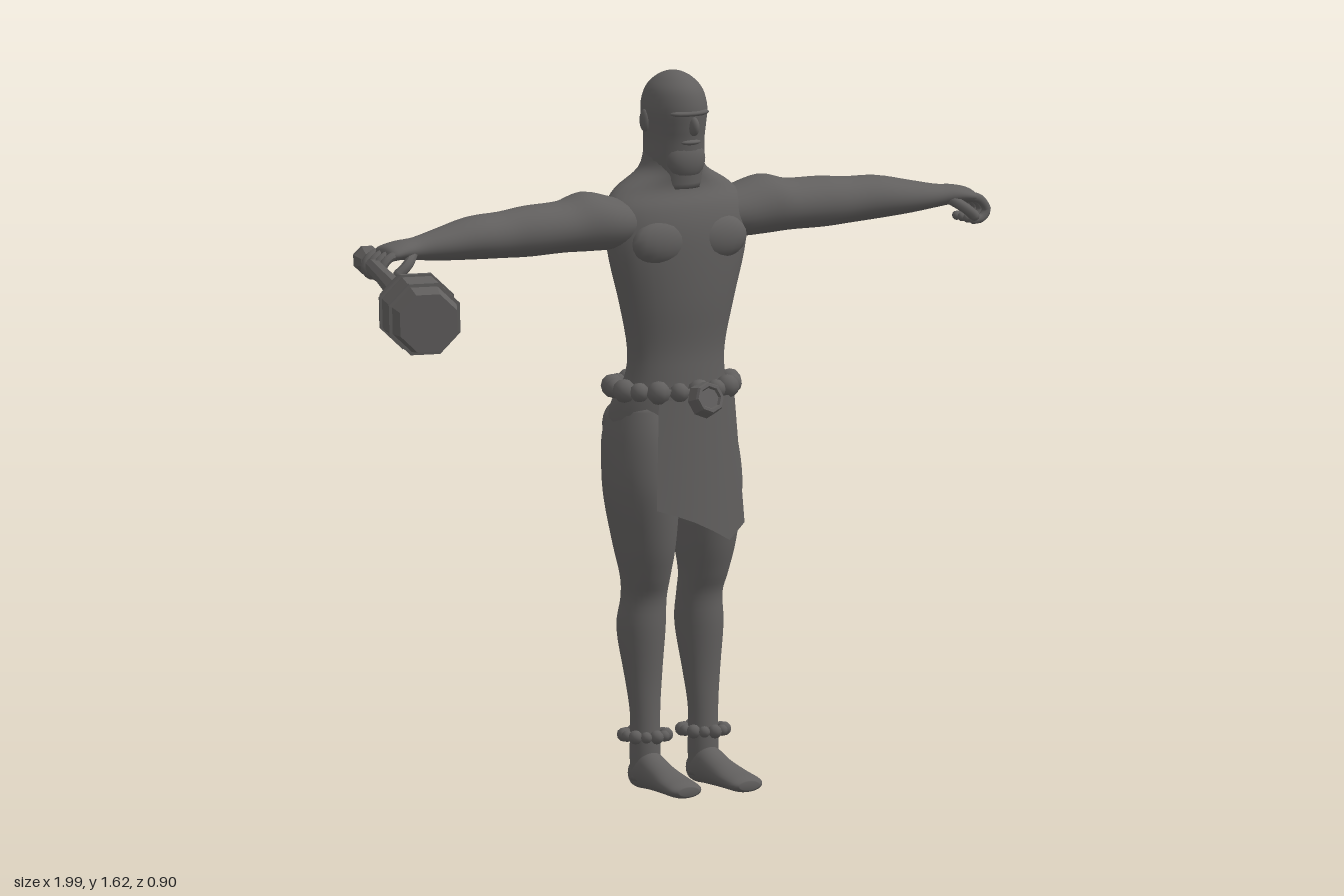
import * as THREE from 'three';

const stone = new THREE.MeshStandardMaterial({ color: 0x615f5e });
stone.name = 'dark grey';
const clubGrey = stone.clone();
clubGrey.name = 'dark grey faceted';
clubGrey.flatShading = true;
const clothGrey = stone.clone();
clothGrey.name = 'dark grey cloth';
clothGrey.side = THREE.DoubleSide;

// Smooth value between cross-sections
const spline = (a, b, c, d, t) =>
  b + 0.5 * t * (c - a + t * (2 * a - 5 * b + 4 * c - d + t * (3 * (b - c) + d - a)));

// Skin over elliptical sections [t, centreA, centreB, radiusA, radiusB] along one axis
function loft(axis, sections, sides = 28, steps = 4) {
  const rings = [];
  const n = sections.length;
  for (let i = 0; i < n - 1; i++) {
    const s = [-1, 0, 1, 2].map(k => sections[Math.min(n - 1, Math.max(0, i + k))]);
    for (let k = 0; k < steps; k++)
      rings.push(s[1].map((_, q) => spline(s[0][q], s[1][q], s[2][q], s[3][q], k / steps)));
  }
  rings.push(sections[n - 1]);
  const pos = [], idx = [];
  const put = (t, a, b) => pos.push(...(axis === 'y' ? [a, t, b] : axis === 'x' ? [t, a, b] : [a, b, t]));
  const face = (a, b, c) => idx.push(...(axis === 'y' ? [a, c, b] : [a, b, c]));
  for (const [t, a, b, ra, rb] of rings)
    for (let j = 0; j < sides; j++) {
      const w = (j / sides) * Math.PI * 2;
      put(t, a + ra * Math.cos(w), b + rb * Math.sin(w));
    }
  const last = (rings.length - 1) * sides;
  const c0 = rings.length * sides;
  for (const r of [rings[0], rings[rings.length - 1]]) put(r[0], r[1], r[2]);
  for (let j = 0; j < sides; j++) {
    const k = (j + 1) % sides;
    for (let i = 0; i < last; i += sides) {
      face(i + j, i + k, i + sides + j);
      face(i + k, i + sides + k, i + sides + j);
    }
    face(c0, k, j);
    face(c0 + 1, last + j, last + k);
  }
  const g = new THREE.BufferGeometry();
  g.setAttribute('position', new THREE.Float32BufferAttribute(pos, 3));
  g.setIndex(idx);
  g.computeVertexNormals();
  return g;
}

function ball(x, y, z, rx, ry, rz, w = 16, h = 12) {
  return new THREE.SphereGeometry(1, w, h).scale(rx, ry, rz).translate(x, y, z);
}

function mirror(geo) {
  const g = geo.clone().scale(-1, 1, 1);
  const a = g.index.array;
  for (let i = 0; i < a.length; i += 3) [a[i], a[i + 1]] = [a[i + 1], a[i]];
  g.computeVertexNormals();
  return g;
}

function add(group, name, geo, mat = stone) {
  const m = new THREE.Mesh(geo, mat);
  m.name = name;
  group.add(m);
  return m;
}

function pair(group, name, geo, mat = stone) {
  add(group, 'left' + name, geo, mat);
  add(group, 'right' + name, mirror(geo), mat);
}

// Hanging cloth with an uneven hem
function cloth(hem, x0, x1, top, zAt) {
  const g = new THREE.PlaneGeometry(1, 1, (hem.length - 1) * 2, 6);
  const p = g.attributes.position;
  for (let i = 0; i < p.count; i++) {
    const u = p.getX(i) + 0.5, v = 0.5 - p.getY(i);
    const f = u * (hem.length - 1), k = Math.min(hem.length - 2, Math.floor(f));
    const low = hem[k] + (hem[k + 1] - hem[k]) * (f - k);
    const spread = 0.86 + 0.14 * v;
    p.setXYZ(i, (x0 + (x1 - x0) * u) * spread, top + (low - top) * v, zAt(2 * u - 1, v));
  }
  g.computeVertexNormals();
  return g;
}

// Beads strung around an ellipse
function beadRing(group, name, count, cx, y, cz, rx, rz, size) {
  const ring = new THREE.Group();
  ring.name = name;
  for (let i = 0; i < count; i++) {
    const a = (i / count) * Math.PI * 2;
    const r = size * (i % 2 ? 0.82 : 1);
    add(ring, 'bead', ball(cx + rx * Math.sin(a), y, cz + rz * Math.cos(a), r, r, r, 8, 6));
  }
  const cord = new THREE.TorusGeometry(1, 0.06, 6, 32).rotateX(Math.PI / 2).scale(rx, rx, rz).translate(cx, y, cz);
  add(ring, 'cord', cord);
  group.add(ring);
}

export function createModel() {
  const model = new THREE.Group();
  model.name = 'clubBearer';
  const body = new THREE.Group();
  body.name = 'body';
  body.position.x = 0.186;
  model.add(body);

  // Torso, neck and head
  add(body, 'torso', loft('y', [
    [0.74, 0, -0.33, 0.06, 0.06], [0.79, 0, -0.335, 0.135, 0.095], [0.86, 0, -0.335, 0.145, 0.098],
    [0.93, 0, -0.312, 0.126, 0.073], [1.0, 0, -0.305, 0.124, 0.066], [1.1, 0, -0.302, 0.145, 0.076],
    [1.2, 0, -0.302, 0.172, 0.082], [1.27, 0, -0.306, 0.182, 0.084], [1.32, 0, -0.315, 0.178, 0.08],
    [1.36, 0, -0.325, 0.145, 0.068], [1.4, 0, -0.322, 0.08, 0.068], [1.44, 0, -0.318, 0.064, 0.07]]));
  add(body, 'head', loft('y', [
    [1.36, 0, -0.318, 0.062, 0.07], [1.42, 0, -0.315, 0.066, 0.073], [1.47, 0, -0.314, 0.065, 0.077],
    [1.5, 0, -0.313, 0.067, 0.081], [1.54, 0, -0.314, 0.07, 0.086], [1.58, 0, -0.314, 0.06, 0.075],
    [1.605, 0, -0.314, 0.039, 0.049], [1.617, 0, -0.314, 0.018, 0.023], [1.62, 0, -0.314, 0.002, 0.002]]));
  add(body, 'brow', ball(0, 1.532, -0.25, 0.05, 0.01, 0.026));
  add(body, 'nose', ball(0, 1.503, -0.232, 0.011, 0.022, 0.018));
  add(body, 'mouth', ball(0, 1.466, -0.246, 0.026, 0.007, 0.016));
  add(body, 'beard', ball(0, 1.425, -0.268, 0.05, 0.05, 0.032));
  pair(body, 'Ear', ball(0.068, 1.51, -0.328, 0.01, 0.026, 0.016));
  pair(body, 'Chest', ball(0.075, 1.245, -0.25, 0.075, 0.052, 0.034));
  pair(body, 'ShoulderBlade', ball(0.09, 1.27, -0.36, 0.065, 0.075, 0.034));
  pair(body, 'Buttock', ball(0.068, 0.82, -0.375, 0.072, 0.062, 0.07));

  // Arms
  pair(body, 'Arm', loft('x', [
    [0.08, 1.285, -0.315, 0.04, 0.05], [0.16, 1.288, -0.318, 0.058, 0.068], [0.235, 1.297, -0.318, 0.067, 0.071],
    [0.3, 1.291, -0.315, 0.058, 0.066], [0.39, 1.289, -0.314, 0.057, 0.064], [0.46, 1.287, -0.313, 0.052, 0.058],
    [0.54, 1.287, -0.312, 0.048, 0.06], [0.62, 1.281, -0.309, 0.037, 0.047], [0.69, 1.277, -0.306, 0.026, 0.034],
    [0.735, 1.277, -0.306, 0.021, 0.043], [0.77, 1.272, -0.306, 0.017, 0.045], [0.78, 1.27, -0.306, 0.006, 0.03]]));
  for (let i = 0; i < 4; i++) {
    const z = -0.341 + i * 0.023;
    const finger = new THREE.CatmullRomCurve3([[0.75, 1.275], [0.785, 1.265], [0.803, 1.24], [0.79, 1.222], [0.768, 1.22]]
      .map(([x, y]) => new THREE.Vector3(x, y, z)));
    pair(body, 'Finger', new THREE.TubeGeometry(finger, 12, 0.0105, 8));
    pair(body, 'Fingertip', ball(0.768, 1.22, z, 0.0105, 0.0105, 0.0105, 8, 6));
  }
  const thumb = new THREE.CatmullRomCurve3([[0.71, 1.272, -0.285], [0.74, 1.25, -0.262], [0.765, 1.23, -0.262]]
    .map(p => new THREE.Vector3(...p)));
  pair(body, 'Thumb', new THREE.TubeGeometry(thumb, 8, 0.012, 8));
  pair(body, 'ThumbTip', ball(0.765, 1.23, -0.262, 0.012, 0.012, 0.012, 8, 6));

  // Legs and feet
  pair(body, 'Leg', loft('y', [
    [0.02, 0.077, -0.313, 0.033, 0.03], [0.08, 0.077, -0.313, 0.035, 0.034], [0.17, 0.077, -0.313, 0.035, 0.031],
    [0.25, 0.077, -0.32, 0.043, 0.038], [0.36, 0.077, -0.33, 0.055, 0.056], [0.43, 0.074, -0.324, 0.052, 0.052],
    [0.48, 0.077, -0.313, 0.055, 0.06], [0.55, 0.08, -0.312, 0.066, 0.08], [0.65, 0.083, -0.318, 0.078, 0.098],
    [0.72, 0.083, -0.324, 0.08, 0.102], [0.8, 0.078, -0.335, 0.076, 0.1], [0.87, 0.075, -0.335, 0.06, 0.075]]));
  pair(body, 'Foot', loft('z', [
    [-0.35, 0.077, 0.033, 0.012, 0.014], [-0.338, 0.077, 0.035, 0.03, 0.034], [-0.29, 0.077, 0.044, 0.036, 0.043],
    [-0.24, 0.078, 0.034, 0.037, 0.033], [-0.18, 0.08, 0.024, 0.043, 0.023], [-0.14, 0.081, 0.019, 0.042, 0.018],
    [-0.125, 0.08, 0.017, 0.026, 0.01]]));
  beadRing(body, 'leftAnklet', 12, 0.077, 0.122, -0.313, 0.047, 0.049, 0.016);
  beadRing(body, 'rightAnklet', 12, -0.077, 0.122, -0.313, 0.047, 0.049, 0.016);

  // Belt, buckle and loincloth
  beadRing(body, 'belt', 18, 0, 0.907, -0.32, 0.142, 0.112, 0.027);
  const tilt = Math.PI / 2 - 0.3;
  add(body, 'buckle', new THREE.CylinderGeometry(0.036, 0.042, 0.026, 8).rotateX(tilt).translate(0, 0.893, -0.178), clubGrey);
  add(body, 'buckleRim', new THREE.TorusGeometry(0.03, 0.007, 6, 8).rotateX(-0.3).translate(0, 0.897, -0.165), clubGrey);
  add(body, 'frontCloth', cloth([0.645, 0.63, 0.612, 0.59, 0.565, 0.6], -0.113, 0.12, 0.89,
    (s, v) => -0.207 + 0.016 * v - 0.017 * s * s), clothGrey);
  add(body, 'backCloth', cloth([0.6, 0.625, 0.62, 0.65, 0.6, 0.58], -0.11, 0.1, 0.84,
    (s, v) => -0.447 + 0.014 * v + 0.014 * s * s), clothGrey);

  // Eight-sided club held in the right hand
  const club = new THREE.Group();
  club.name = 'club';
  const lathe = pts => new THREE.LatheGeometry(pts.map(p => new THREE.Vector2(...p)), 8);
  add(club, 'shaft', lathe([[0, 0.02], [0.018, 0.02], [0.02, 0.25], [0.026, 0.46], [0.03, 0.475], [0.056, 0.56],
    [0.079, 0.66], [0.086, 0.74], [0.081, 0.83], [0.07, 0.902], [0, 0.902]]), clubGrey);
  add(club, 'pommel', lathe([[0, -0.032], [0.022, -0.026], [0.033, -0.005], [0.033, 0.012], [0.02, 0.032], [0, 0.034]]), clubGrey);
  for (const [y, r] of [[0.725, 0.085], [0.835, 0.081]])
    add(club, 'band', lathe([[r - 0.01, y - 0.008], [r + 0.006, y - 0.007], [r + 0.006, y + 0.007], [r - 0.01, y + 0.008]]), clubGrey);
  club.position.set(-0.57, 1.244, -0.405);
  club.quaternion.setFromUnitVectors(new THREE.Vector3(0, 1, 0), new THREE.Vector3(-0.365, 0, 0.825).normalize());
  model.add(club);
  return model;
}
